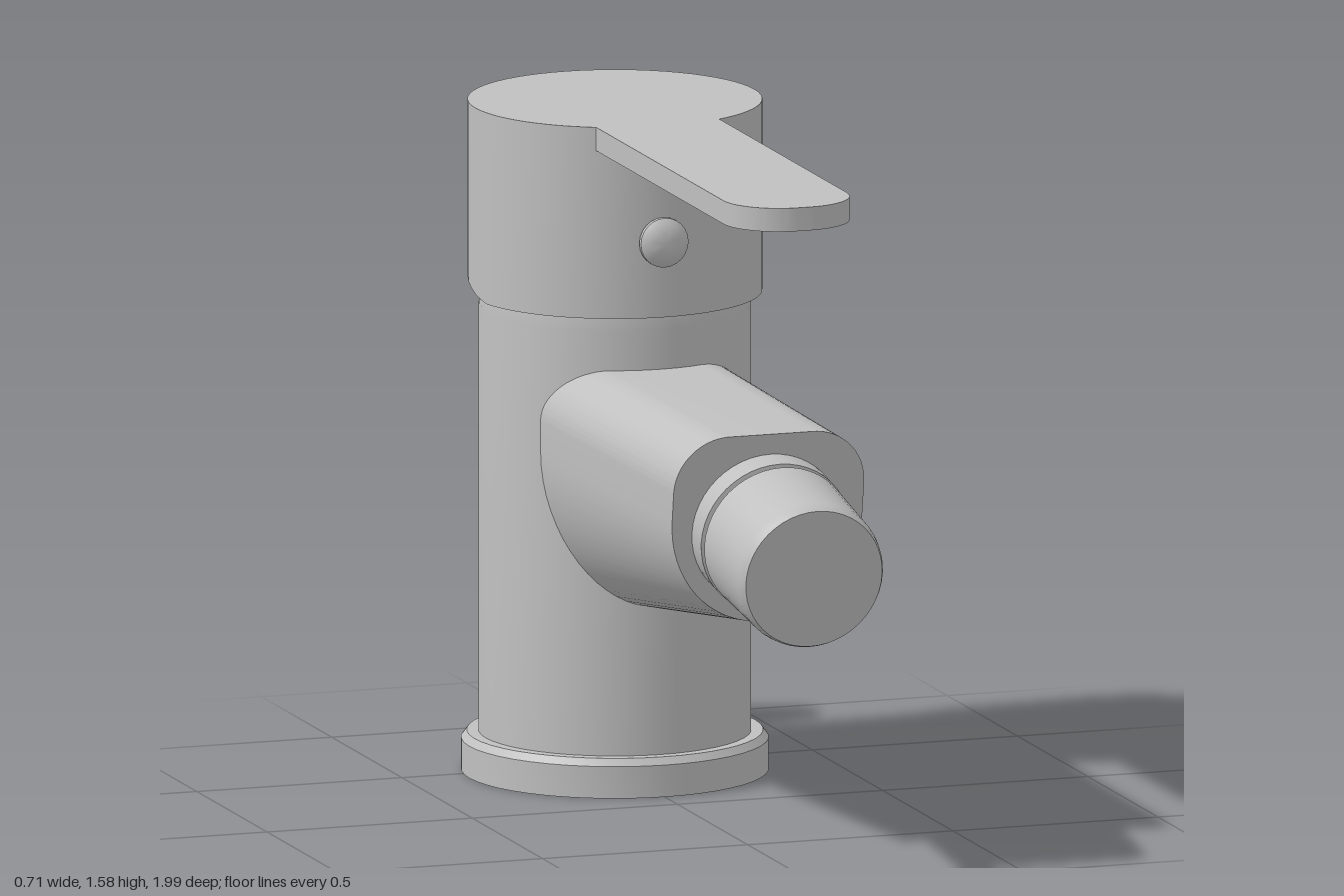
import * as THREE from 'three';
import { toCreasedNormals } from 'three/addons/utils/BufferGeometryUtils.js';

const AXIS_Z = -0.445; // vertical axis of the body

export function createModel() {
  const group = new THREE.Group();
  const metal = new THREE.MeshStandardMaterial({ color: 0xc0c0c0 });
  metal.name = 'satin metal';

  const add = (name, geometry, crease = 0.5) => {
    const mesh = new THREE.Mesh(toCreasedNormals(geometry, crease), metal);
    mesh.name = name;
    group.add(mesh);
    return mesh;
  };
  // Turned part: profile of [radius, height], listed from bottom to top
  const turned = (name, profile, segments = 48) =>
    add(name, new THREE.LatheGeometry(profile.map(([r, y]) => new THREE.Vector2(r, y)), segments));
  // Point a turned part's own +y along a direction from an origin
  const aim = (mesh, origin, direction) => {
    mesh.position.set(...origin);
    mesh.quaternion.setFromUnitVectors(
      new THREE.Vector3(0, 1, 0), new THREE.Vector3(...direction).normalize());
  };

  // Foot ring and column with a rounded shoulder
  turned('baseRing', [[0, 0], [0.355, 0], [0.355, 0.075], [0.342, 0.092], [0, 0.092]])
    .position.z = AXIS_Z;
  turned('body', [[0.315, 0.05], [0.315, 1.09], [0.311, 1.14], [0.302, 1.175],
    [0.288, 1.21], [0.265, 1.235], [0, 1.24]]).position.z = AXIS_Z;

  // Head: the rear of its lower rim slopes upward
  const head = new THREE.CylinderGeometry(0.34, 0.34, 0.45, 64);
  head.translate(0, 1.35, AXIS_Z);
  const hp = head.attributes.position;
  for (let i = 0; i < hp.count; i++) {
    if (hp.getY(i) < 1.3) hp.setY(i, 1.125 + Math.max(0, -0.39 - hp.getZ(i)) * 0.231);
  }
  add('head', head);

  // Flat lever with rounded tip
  const w = 0.15, r = 0.135, tip = 0.9, root = -0.3;
  const lever = new THREE.Shape();
  lever.moveTo(-w, -root);
  lever.lineTo(-w, -tip + r);
  lever.absarc(-w + r, -tip + r, r, Math.PI, Math.PI * 1.5, false);
  lever.absarc(w - r, -tip + r, r, Math.PI * 1.5, Math.PI * 2, false);
  lever.lineTo(w, -root);
  const leverGeo = new THREE.ExtrudeGeometry(lever,
    { depth: 0.055, bevelEnabled: false, curveSegments: 12 });
  leverGeo.rotateX(-Math.PI / 2);
  leverGeo.translate(0, 1.52, 0);
  add('lever', leverGeo);

  // Domed screw cap on the front of the head
  aim(turned('screwCap', [[0.04, -0.03], [0.04, 0.005], [0.058, 0.01], [0.058, 0.022],
    [0.045, 0.034], [0.025, 0.041], [0, 0.043]], 24), [0, 1.303, -0.112], [0, 0, 1]);

  // Spout: flat top, round belly, tapering to a slanted end
  const sw = 0.232, mid = 0.8, top = 0.998, c = 0.13, belly = 0.255;
  const section = new THREE.Shape();
  section.moveTo(sw, mid);
  section.lineTo(sw, top - c);
  section.absarc(sw - c, top - c, c, 0, Math.PI / 2, false);
  section.lineTo(-sw + c, top);
  section.absarc(-sw + c, top - c, c, Math.PI / 2, Math.PI, false);
  section.lineTo(-sw, mid);
  section.absellipse(0, mid, sw, belly, Math.PI, Math.PI * 2, false, 0);
  const spout = new THREE.ExtrudeGeometry(section,
    { depth: 1, bevelEnabled: false, curveSegments: 16 });
  const sp = spout.attributes.position;
  for (let i = 0; i < sp.count; i++) {
    const x = sp.getX(i), y = sp.getY(i);
    if (sp.getZ(i) > 0.5) {
      sp.setZ(i, 0.6 + (y - 0.545) * 0.156);
    } else {
      sp.setXYZ(i, x * 1.075, y < mid ? mid + (y - mid) * 0.392 / belly : y, -0.35);
    }
  }
  add('spout', spout);

  // Tilted nozzle with a groove behind its collar
  aim(turned('nozzle', [[0.182, -0.45], [0.182, -0.275], [0.168, -0.272], [0.168, -0.262],
    [0.18, -0.258], [0.175, -0.03], [0.171, -0.01], [0.166, 0], [0, 0]]),
  [0, 0.715, 0.972], [0, -0.16, 0.987]);

  // Pull knob and its rod at the back
  const knobTop = [0, 0.69, -0.912], knobAxis = [0, 0.916, -0.4];
  aim(turned('knob', [[0, -0.285], [0.045, -0.285], [0.1, -0.032], [0.098, -0.022],
    [0.084, 0], [0, 0]], 32), knobTop, knobAxis);
  aim(turned('knobRod', [[0, -0.5], [0.021, -0.5], [0.021, -0.25]], 16), knobTop, knobAxis);

  return group;
}
